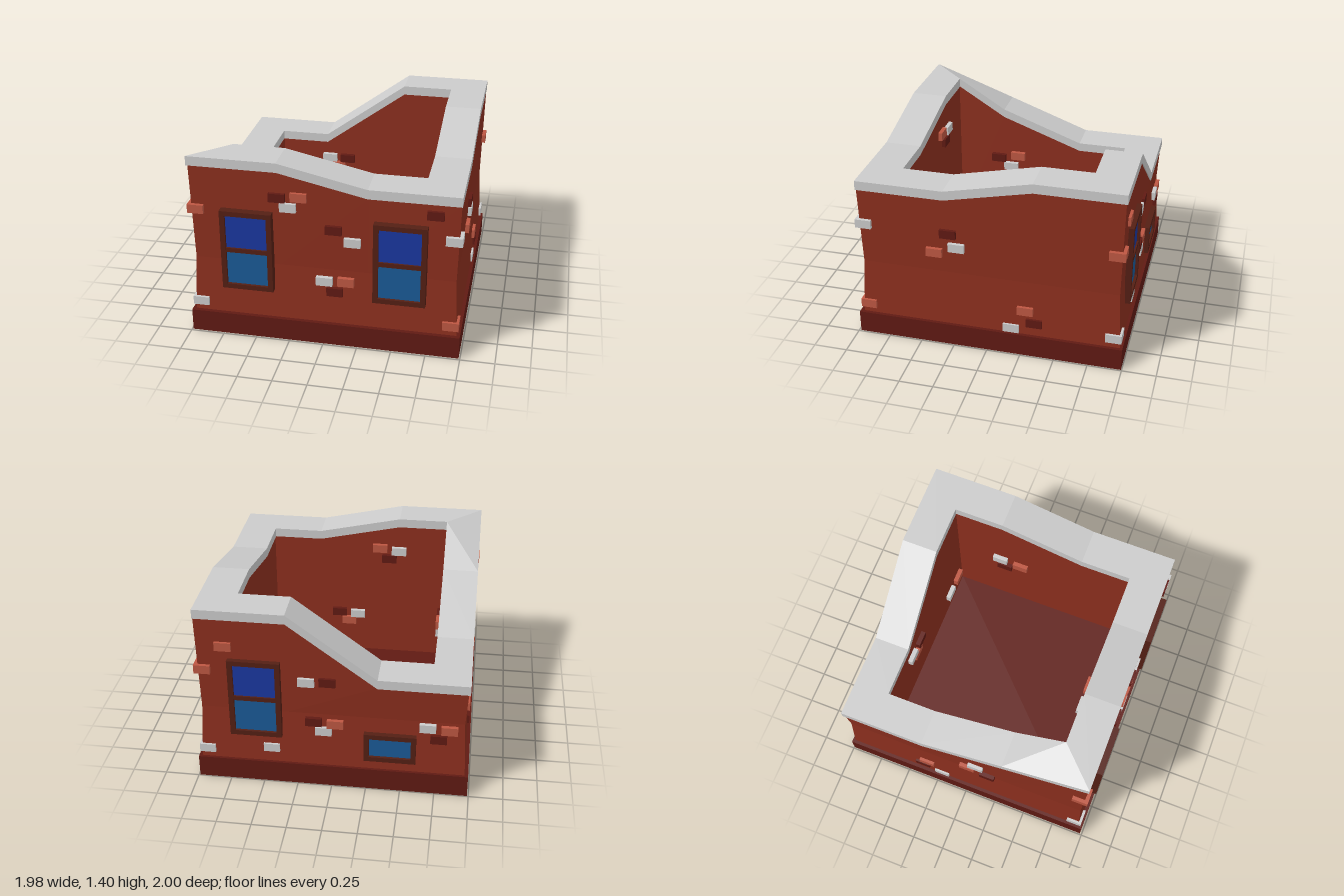
import * as THREE from 'three';

const mat = (color) => new THREE.MeshStandardMaterial({ color, flatShading: true });
const M = {
  wall: mat(0x8c2f1e), dark: mat(0x601a13), light: mat(0xbd5742), grey: mat(0xc4c4c4),
  frame: mat(0x541f14), glassTop: mat(0x1a379f), glassLow: mat(0x1a5a96), cap: mat(0xcccccc),
};
const T = 0.32; // the walls are divided in thirds

// Heights of the broken wall top, from the front left corner round to the back
const TOPS = [1.4, 1.4, 1.26, 1.26, 1.26, 1.4, 1.4, 1.4, 0.93, 0.93, 0.93, 1.165];

// Square ring of 12 points; y is a number or a function of the point index
function ring(h, y) {
  const xz = [[-h, h], [-T, h], [T, h], [h, h], [h, T], [h, -T],
    [h, -h], [T, -h], [-T, -h], [-h, -h], [-h, -T], [-h, T]];
  return xz.map(([x, z], i) => new THREE.Vector3(x, typeof y === 'number' ? y : y(i), z));
}

// Skin a list of rings with flat quads
function loft(rows) {
  const pts = [];
  for (let r = 0; r < rows.length - 1; r++) {
    for (let i = 0; i < 12; i++) {
      const j = (i + 1) % 12;
      const [a, b, c, d] = [rows[r][i], rows[r][j], rows[r + 1][j], rows[r + 1][i]];
      pts.push(a, b, c, a, c, d);
    }
  }
  const g = new THREE.BufferGeometry().setFromPoints(pts);
  g.computeVertexNormals();
  return g;
}

function add(parent, name, geometry, material, x = 0, y = 0, z = 0) {
  const m = new THREE.Mesh(geometry, material);
  m.name = name;
  m.position.set(x, y, z);
  parent.add(m);
  return m;
}
const box = (parent, name, material, w, h, d, x, y, z) =>
  add(parent, name, new THREE.BoxGeometry(w, h, d), material, x, y, z);

// Framed window centred on its own origin, facing +z; panes are stacked
function makeWindow(w, h, panes) {
  const g = new THREE.Group();
  g.name = 'window';
  const t = 0.037, d = 0.07;
  for (const s of [-1, 1]) {
    box(g, 'frameSide', M.frame, t, h, d, s * (w - t) / 2, 0, 0);
    box(g, 'frameRail', M.frame, w - 2 * t, t, d, 0, s * (h - t) / 2, 0);
  }
  const ih = (h - 2 * t) / panes;
  for (let i = 0; i < panes; i++) {
    const y = (i - (panes - 1) / 2) * ih;
    box(g, 'glassPane', i ? M.glassTop : M.glassLow, w - 2 * t, ih, 0.04, 0, y, -0.005);
  }
  if (panes > 1) box(g, 'glazingBar', M.frame, w - 2 * t, 0.034, 0.055, 0, 0, 0);
  return g;
}

// Loose bricks per wall: [tone, position along the wall, height]
const OUTER = {
  front: [['dark', -0.325, 1.14], ['light', -0.17, 1.155], ['grey', -0.247, 1.07], ['dark', 0.785, 1.11],
    ['dark', 0.077, 0.925], ['grey', 0.21, 0.84], ['grey', 0.007, 0.51], ['light', 0.163, 0.517], ['dark', 0.083, 0.43]],
  back: [['grey', 0.18, 0.87], ['dark', 0.03, 0.88], ['dark', 0.13, 0.54], ['light', -0.025, 0.53], ['grey', 0.06, 0.465],
    ['grey', 0.44, 0.29], ['grey', -0.685, 0.555], ['light', -0.84, 0.545], ['dark', -0.765, 0.465], ['light', 0.76, 1.12]],
  right: [['dark', 0.29, 0.925], ['grey', 0.23, 0.82], ['light', 0.395, 0.763],
    ['light', -0.273, 0.368], ['dark', -0.34, 0.272], ['grey', -0.168, 0.208]],
  left: [['grey', 0.1, 0.785], ['light', 0.03, 0.69], ['dark', 0.19, 0.63],
    ['light', -0.32, 0.365], ['dark', -0.36, 0.28], ['grey', -0.2, 0.208]],
};
const INNER = {
  front: [['light', -0.17, 1.14], ['grey', -0.325, 1.12], ['dark', -0.247, 1.05],
    ['dark', 0.163, 0.53], ['grey', 0.01, 0.52], ['light', 0.083, 0.455]],
  back: [['grey', -0.3, 0.73], ['dark', -0.15, 0.73], ['light', -0.23, 0.66], ['grey', 0.43, 0.4], ['light', 0.59, 0.4]],
  right: [['grey', -0.34, 0.82], ['light', -0.17, 0.8], ['dark', -0.3, 0.73]],
  left: [['light', 0.195, 0.76], ['grey', 0.255, 0.66], ['dark', 0.36, 0.73]],
};

function addBricks(parent, layout, offset) {
  for (const [side, list] of Object.entries(layout)) {
    const alongX = side === 'front' || side === 'back';
    const o = side === 'front' || side === 'right' ? offset : -offset;
    for (const [tone, p, y] of list) {
      if (alongX) box(parent, 'brick', M[tone], 0.118, 0.066, 0.06, p, y, o);
      else box(parent, 'brick', M[tone], 0.06, 0.066, 0.118, o, y, p);
    }
  }
}

export function createModel() {
  const model = new THREE.Group();
  model.name = 'brickRuin';

  // Plinth, which is also the floor
  box(model, 'base', M.dark, 1.98, 0.17, 1.98, 0, 0.085, -0.005);

  // Walls pinched at mid height, with a hollow inside
  const under = (i) => TOPS[i] - 0.068;
  add(model, 'walls', loft([
    ring(0.965, 0.168), ring(0.944, 0.6), ring(0.958, under), ring(0.7, under), ring(0.7, 0.168),
  ]), M.wall, 0, 0, -0.01);

  // Coping that follows the broken top edge
  const top = (i) => TOPS[i];
  const low = (i) => TOPS[i] - 0.07;
  add(model, 'coping', loft([
    ring(0.966, low), ring(0.966, top), ring(0.697, top), ring(0.697, low), ring(0.966, low),
  ]), M.cap, -0.004, 0, -0.01);

  // Tall windows on the front and back, one small window at the back
  const windows = [[-0.547, 0.71, 0.965, 0.62, 2], [0.55, 0.71, 0.965, 0.62, 2],
    [0.547, 0.71, -0.965, 0.62, 2], [-0.42, 0.365, -0.965, 0.23, 1]];
  for (const [x, y, z, h, panes] of windows) {
    const w = makeWindow(0.375, h, panes);
    w.position.set(x, y, z);
    if (z < 0) w.rotation.y = Math.PI;
    model.add(w);
  }

  // Bricks standing proud of the wall faces
  const bricks = new THREE.Group();
  bricks.name = 'bricks';
  bricks.position.z = -0.008;
  addBricks(bricks, OUTER, 0.946);
  addBricks(bricks, INNER, 0.697);

  // Corner bricks wrapping two faces
  const corners = [['light', -1, 1, 1.0], ['grey', -1, 1, 0.245], ['grey', 1, 1, 0.925],
    ['light', 1, 1, 0.245], ['light', 1, -1, 0.925], ['grey', 1, -1, 0.245]];
  for (const [tone, sx, sz, y] of corners) {
    box(bricks, 'cornerBrick', M[tone], 0.118, 0.066, 0.118, sx * 0.919, y, sz * 0.919);
  }
  model.add(bricks);
  return model;
}
